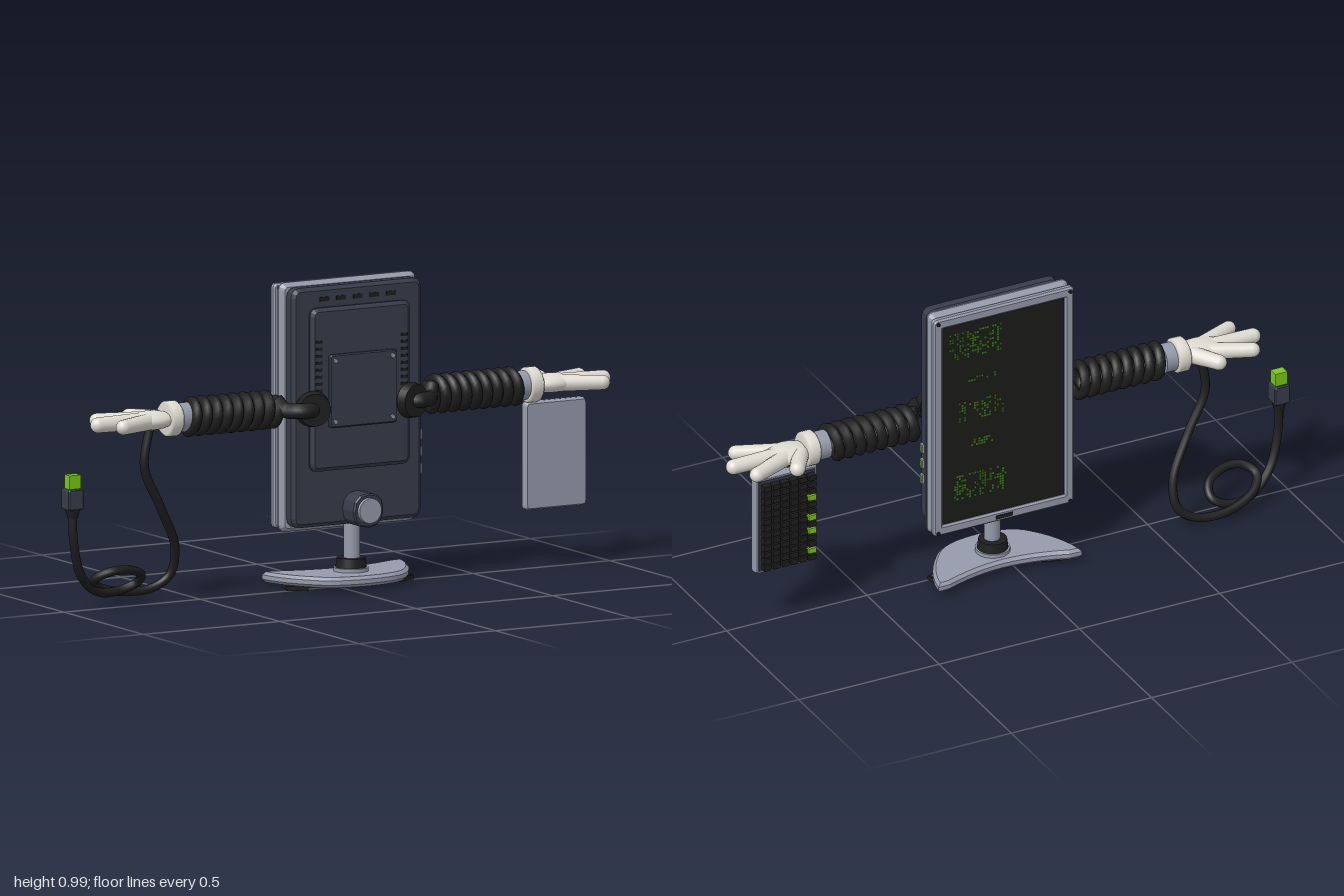
import * as THREE from 'three';
import { mergeGeometries } from 'three/addons/utils/BufferGeometryUtils.js';

const mat = (name, color) => {
  const m = new THREE.MeshStandardMaterial({ color });
  m.name = name;
  return m;
};
const CX = 0.05, ARM_Y = 0.59;

export function createModel() {
  const root = new THREE.Group();
  root.name = 'monitorWithArms';
  const navy = mat('navyPlastic', 0x363d4a), steel = mat('steelGrey', 0x959bab);
  const black = mat('blackRubber', 0x1e1e1e), white = mat('gloveWhite', 0xdedbd1);
  const green = mat('brightGreen', 0x78c814), dim = mat('screenGreen', 0x3c7d10);
  const glass = mat('screenBlack', 0x1b1b1a);

  const add = (name, geo, material, x = 0, y = 0, z = 0, parent = root) => {
    const mesh = new THREE.Mesh(geo, material);
    mesh.name = name;
    mesh.position.set(x, y, z);
    parent.add(mesh);
    return mesh;
  };
  const box = (w, h, d, x = 0, y = 0, z = 0) => new THREE.BoxGeometry(w, h, d).translate(x, y, z);
  const rectPath = (Path, w, h, r) => {
    const s = new Path(), a = w / 2, b = h / 2;
    s.moveTo(-a + r, -b).lineTo(a - r, -b).quadraticCurveTo(a, -b, a, -b + r).lineTo(a, b - r)
      .quadraticCurveTo(a, b, a - r, b).lineTo(-a + r, b).quadraticCurveTo(-a, b, -a, b - r)
      .lineTo(-a, -b + r).quadraticCurveTo(-a, -b, -a + r, -b);
    return s;
  };
  // bevelled slab from z0 to z1, optionally with a rectangular opening
  const slab = (w, h, r, z0, z1, bt, bs, hole) => {
    const s = rectPath(THREE.Shape, w - 2 * bs, h - 2 * bs, r);
    if (hole) s.holes.push(rectPath(THREE.Path, hole[0] + 2 * bs, hole[1] + 2 * bs, 0.003));
    return new THREE.ExtrudeGeometry(s, {
      depth: z1 - z0 - 2 * bt, bevelThickness: bt, bevelSize: bs, bevelSegments: 1, curveSegments: 3,
    }).translate(0, 0, z0 + bt);
  };
  const cylZ = (r0, r1, d, n = 28) => new THREE.CylinderGeometry(r1, r0, d, n).rotateX(Math.PI / 2);
  const cylX = (r, d) => new THREE.CylinderGeometry(r, r, d, 24).rotateZ(Math.PI / 2);
  const v = (x, y, z) => new THREE.Vector3(x, y, z);
  const tube = (pts, r, seg, sides = 8) => new THREE.TubeGeometry(new THREE.CatmullRomCurve3(pts), seg, r, sides);

  // ---- monitor housing
  add('backShell', slab(0.475, 0.77, 0.02, -0.005, 0.044, 0.01, 0.012), navy, CX, 0.59);
  add('middleFrame', slab(0.5, 0.8, 0.012, -0.047, -0.005, 0.018, 0.013), steel, CX, 0.587);
  add('frameGap', box(0.475, 0.765, 0.008), black, CX, 0.588, -0.049);
  add('raisedPanel', slab(0.365, 0.525, 0.015, 0.042, 0.07, 0.01, 0.012), navy, CX, 0.648);
  add('mountPlate', slab(0.245, 0.235, 0.006, 0.068, 0.085, 0.004, 0.004), navy, CX, 0.643);
  const screws = [], corners = [];
  for (const i of [-1, 1]) for (const j of [-1, 1]) {
    screws.push(cylZ(0.008, 0.007, 0.008, 10).translate(i * 0.105, j * 0.098, 0));
    corners.push(cylZ(0.006, 0.006, 0.006, 8).translate(i * 0.235, j * 0.38, 0));
  }
  add('plateScrews', mergeGeometries(screws), steel, CX, 0.643, 0.087);
  add('bezelScrews', mergeGeometries(corners), black, CX, 0.587, -0.079);

  // vent slots along the top and down both sides of the raised panel
  const vents = [];
  for (let i = -2; i <= 2; i++) vents.push(box(0.034, 0.014, 0.008, CX + i * 0.061, 0.935, 0.043));
  for (let i = 0; i < 10; i++) for (const s of [-1, 1])
    vents.push(box(0.024, 0.009, 0.009, CX + s * 0.157, 0.6 + i * 0.0225, 0.069));
  add('vents', mergeGeometries(vents), black);

  // sockets on the left side
  for (const y of [0.47, 0.415, 0.36]) {
    add('socketFrame', box(0.016, 0.032, 0.016), steel, 0.286, y, 0.024);
    add('socketInside', box(0.006, 0.018, 0.009), green, 0.293, y, 0.024);
  }

  // ---- display
  add('bezel', slab(0.5, 0.785, 0.008, -0.076, -0.052, 0.006, 0.006, [0.435, 0.715]), steel, CX, 0.588);
  add('screen', box(0.46, 0.74, 0.012), glass, CX, 0.588, -0.062);
  add('bezelButton', box(0.06, 0.012, 0.006), black, CX, 0.213, -0.0765);
  let seed = 7;
  const rand = () => (seed = (seed * 16807) % 2147483647) / 2147483647;
  const pixels = [];
  // clusters of lit cells: u range, v range from the top, fill density
  for (const [u0, u1, v0, v1, fill] of [[0.06, 0.48, 0.05, 0.18, 0.4], [0.14, 0.5, 0.41, 0.5, 0.4],
    [0.24, 0.44, 0.61, 0.64, 0.5], [0.1, 0.52, 0.78, 0.9, 0.45], [0.2, 0.45, 0.29, 0.31, 0.25]])
    for (let x = 0.265 - u0 * 0.43; x > 0.265 - u1 * 0.43; x -= 0.009)
      for (let y = 0.945 - v0 * 0.71; y > 0.945 - v1 * 0.71; y -= 0.009)
        if (rand() < fill) pixels.push(box(0.0065, 0.0065, 0.002, x, y, -0.0685));
  add('screenCells', mergeGeometries(pixels), dim);

  // ---- stand
  add('hingeKnob', slab(0.11, 0.11, 0.049, 0.04, 0.117, 0.005, 0.005), navy, CX, 0.256).visible = true;
  add('hingeCap', cylZ(0.042, 0.04, 0.016), steel, CX, 0.256, 0.12);
  add('stem', new THREE.CylinderGeometry(0.026, 0.026, 0.18, 24), steel, CX, 0.14, 0.008);
  add('collar', new THREE.CylinderGeometry(0.046, 0.05, 0.032, 28), black, CX, 0.075, 0.004);
  add('collarRing', new THREE.CylinderGeometry(0.056, 0.056, 0.012, 28), steel, CX, 0.054, 0.004);
  const foot = new THREE.Shape();
  foot.moveTo(-0.245, 0.11).quadraticCurveTo(-0.23, 0.02, -0.16, -0.06)
    .quadraticCurveTo(-0.12, -0.115, 0, -0.117).quadraticCurveTo(0.12, -0.115, 0.16, -0.06)
    .quadraticCurveTo(0.23, 0.02, 0.245, 0.11).lineTo(0.215, 0.108)
    .quadraticCurveTo(0.1, 0.065, 0, 0.065).quadraticCurveTo(-0.1, 0.065, -0.215, 0.108);
  add('base', new THREE.ExtrudeGeometry(foot, {
    depth: 0.014, bevelThickness: 0.01, bevelSize: 0.01, bevelSegments: 1, curveSegments: 6,
  }).rotateX(-Math.PI / 2), steel, CX, 0.024, 0);
  for (const s of [-1, 1]) {
    const pad = add('footPad', box(0.07, 0.015, 0.09), black, CX + s * 0.185, 0.0075, -0.03);
    pad.rotation.y = s * 0.35;
  }

  // ---- arms: elbow, coil, wrist and glove, built once per side
  const rod = (name, a, b, r0, r1, parent) => {
    const d = b.clone().sub(a), len = d.length(), q = new THREE.Quaternion();
    const pts = [];
    for (let i = 0; i <= 5; i++) {
      const t = (-1 + i / 5) * Math.PI / 2;
      pts.push(new THREE.Vector2(r0 * Math.cos(t) + 1e-5, r0 * Math.sin(t)));
    }
    for (let i = 0; i <= 6; i++) {
      const t = (i / 6) * Math.PI / 2;
      pts.push(new THREE.Vector2(Math.max(r1 * Math.cos(t), 0), len - r1 + r1 * Math.sin(t)));
    }
    const m = add(name, new THREE.LatheGeometry(pts, 16), white, a.x, a.y, a.z, parent);
    m.quaternion.copy(q.setFromUnitVectors(v(0, 1, 0), d.normalize()));
  };
  for (const s of [1, -1]) {
    const arm = new THREE.Group();
    arm.name = s > 0 ? 'leftArm' : 'rightArm';
    arm.position.set(CX, ARM_Y, 0);
    root.add(arm);
    const disc = add('shoulderDisc', cylZ(0.058, 0.052, 0.03), black, s * 0.182, 0, 0.083, arm);
    disc.rotation.y = s * 0.25;
    add('shoulderElbow', tube([v(s * 0.18, 0, 0.075), v(s * 0.2, 0, 0.092), v(s * 0.235, 0, 0.085),
      v(s * 0.265, 0, 0.045), v(s * 0.285, 0.03, 0.02)], 0.025, 20, 10), black, 0, 0, 0, arm);
    const coil = [], turns = 8.5, n = 16;
    for (let i = 0; i <= turns * n; i++) {
      const a = (i / n) * Math.PI * 2, r = 0.047 * Math.min(1, 0.6 + i / n);
      coil.push(v(s * (0.275 + 0.325 * i / (turns * n)), Math.cos(a) * r, Math.sin(a) * r));
    }
    add('coil', tube(coil, 0.0175, 200, 8), black, 0, 0, 0, arm);
    add('wristRing', cylX(0.047, 0.045), steel, s * 0.62, 0, 0, arm);
    const cuff = [[0, -0.023], [0.05, -0.023], [0.057, -0.016], [0.057, 0.016], [0.05, 0.023], [0, 0.023]]
      .map(([x, y]) => new THREE.Vector2(x, y));
    add('cuff', new THREE.LatheGeometry(cuff, 24).rotateZ(Math.PI / 2), white, s * 0.66, 0, 0, arm);
    add('palm', new THREE.SphereGeometry(1, 24, 14).scale(0.085, 0.031, 0.058), white, s * 0.735, 0, 0, arm);
    rod('middleFinger', v(s * 0.76, 0, 0), v(s * 0.95, 0, 0), 0.028, 0.025, arm);
    rod('indexFinger', v(s * 0.75, 0, -0.022), v(s * 0.905, 0, -0.09), 0.027, 0.024, arm);
    rod('littleFinger', v(s * 0.75, 0, 0.022), v(s * 0.9, 0, 0.088), 0.027, 0.024, arm);
    rod('thumb', v(s * 0.7, 0, -0.025), v(s * 0.765, 0, -0.125), 0.028, 0.025, arm);
  }

  // ---- keyboard hanging from the left hand, keys to the back
  const kb = new THREE.Group();
  kb.name = 'keyboard';
  kb.position.set(0.797, 0.362, 0);
  root.add(kb);
  add('keyboardBody', slab(0.225, 0.348, 0.01, -0.022, 0.016, 0.012, 0.006), steel, 0, 0, 0, kb);
  add('keyDeck', box(0.2, 0.325, 0.006), navy, 0, 0, -0.022, kb);
  const dark = [], lit = [];
  for (let c = 0; c < 6; c++) for (let r = 0; r < 13; r++) {
    const key = box(0.026, 0.0185, 0.024, -0.08 + c * 0.032, 0.144 - r * 0.024, -0.035);
    (c === 0 && [3, 6, 8, 11].includes(r) ? lit : dark).push(key);
  }
  add('keys', mergeGeometries(dark), black, 0, 0, 0, kb);
  add('litKeys', mergeGeometries(lit), green, 0, 0, 0, kb);

  // ---- looped cable and plug held by the right hand
  const path = [[-0.685, 0.575, 0], [-0.705, 0.44, 0], [-0.64, 0.305, -0.01], [-0.567, 0.165, -0.045],
    [-0.572, 0.075, -0.07], [-0.63, 0.035, -0.085], [-0.74, 0.032, -0.09], [-0.845, 0.062, -0.06],
    [-0.882, 0.095, -0.01], [-0.845, 0.12, 0.025], [-0.78, 0.121, 0.025], [-0.715, 0.098, -0.005],
    [-0.705, 0.066, -0.045], [-0.755, 0.042, -0.065], [-0.845, 0.045, -0.05], [-0.925, 0.107, -0.02],
    [-0.965, 0.225, 0], [-0.968, 0.325, 0]];
  add('cable', tube(path.map(p => v(...p)), 0.0145, 160, 10), black);
  add('plugRelief', new THREE.CylinderGeometry(0.024, 0.017, 0.03, 16), black, -0.968, 0.315, 0);
  add('plugBody', slab(0.056, 0.068, 0.006, -0.026, 0.026, 0.004, 0.004), navy, -0.969, 0.361);
  add('plugTip', box(0.042, 0.046, 0.034), green, -0.968, 0.416, 0);
  return root;
}
